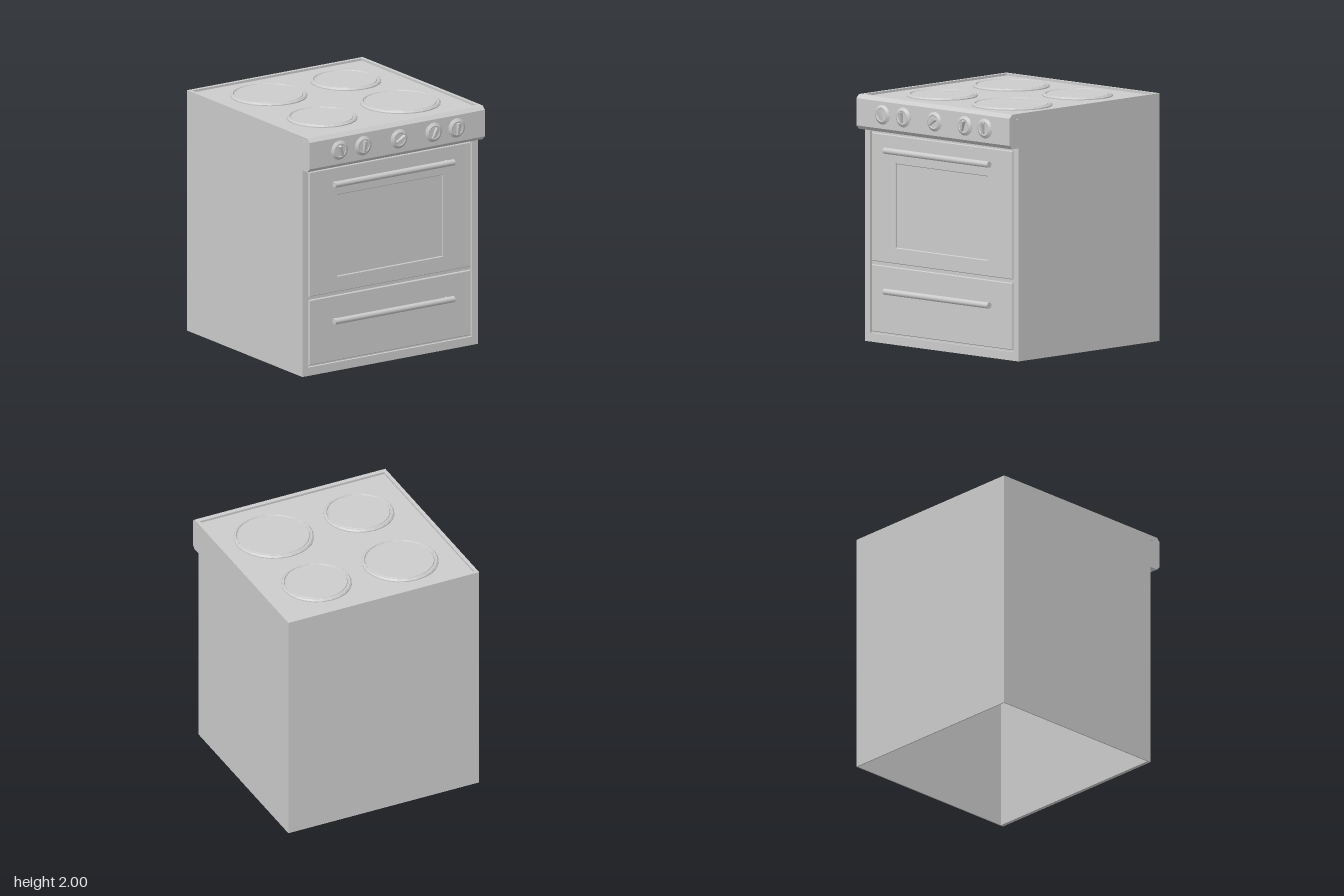
import * as THREE from 'three';

const mat = new THREE.MeshStandardMaterial({ color: 0xcccccc, flatShading: true });
const smooth = new THREE.MeshStandardMaterial({ color: 0xcccccc });

function add(parent, name, geometry, x = 0, y = 0, z = 0, material = mat) {
  const mesh = new THREE.Mesh(geometry, material);
  mesh.name = name;
  mesh.position.set(x, y, z);
  parent.add(mesh);
  return mesh;
}

// Box given by its minimum and maximum corners
function span(parent, name, x0, x1, y0, y1, z0, z1) {
  return add(parent, name, new THREE.BoxGeometry(x1 - x0, y1 - y0, z1 - z0),
    (x0 + x1) / 2, (y0 + y1) / 2, (z0 + z1) / 2);
}

function rect(Type, x, y0, y1) {
  return new Type([[-x, y0], [x, y0], [x, y1], [-x, y1]].map(p => new THREE.Vector2(...p)));
}

// Flat panel with a bevelled front edge, optionally with a rectangular opening
function panel(parent, name, outer, hole, front, depth, bevel) {
  const shape = rect(THREE.Shape, ...outer);
  if (hole) shape.holes.push(rect(THREE.Path, ...hole));
  const geometry = new THREE.ExtrudeGeometry(shape, {
    depth: depth - 2 * bevel, bevelEnabled: bevel > 0, bevelSize: bevel,
    bevelThickness: bevel, bevelOffset: -bevel, bevelSegments: 1,
  });
  return add(parent, name, geometry, 0, 0, front - depth + bevel);
}

// Bar handle on two short posts
function handle(parent, name, y) {
  const group = new THREE.Group();
  group.name = name;
  group.position.set(0, y, 0.795);
  parent.add(group);
  const bar = add(group, 'handleBar', new THREE.CylinderGeometry(0.025, 0.025, 1.16, 16), 0, 0, 0, smooth);
  bar.rotation.z = Math.PI / 2;
  for (const s of [-1, 1]) {
    const post = add(group, 'handlePost', new THREE.CylinderGeometry(0.013, 0.013, 0.06, 10), s * 0.54, 0, -0.03, smooth);
    post.rotation.x = Math.PI / 2;
  }
}

// Control knob: tapered dial with a wedge-shaped grip
function knob(parent, x, angle) {
  const group = new THREE.Group();
  group.name = 'knob';
  group.position.set(x, 1.865, 0.84);
  group.rotation.z = angle;
  parent.add(group);
  const profile = [[0.08, -0.005], [0.08, 0.003], [0.058, 0.018], [0.052, 0.018], [0.048, 0.015], [0, 0.015]]
    .map(p => new THREE.Vector2(...p));
  add(group, 'knobDial', new THREE.LatheGeometry(profile, 24)).rotation.x = Math.PI / 2;
  const side = new THREE.Shape([[0.01, -0.045], [0.032, -0.045], [0.052, 0.045], [0.01, 0.045]]
    .map(p => new THREE.Vector2(...p)));
  const grip = new THREE.ExtrudeGeometry(side, { depth: 0.02, bevelEnabled: false });
  grip.translate(0, 0, -0.01).rotateY(-Math.PI / 2);
  add(group, 'knobGrip', grip);
}

// Hotplate: raised ring, narrow groove, flat plate
function hotplate(parent, x, z, r) {
  const profile = [[r, 1.978], [r, 1.99], [r - 0.012, 2.002], [r - 0.022, 2.002], [r - 0.028, 1.992],
    [r - 0.033, 1.992], [r - 0.038, 2.0], [0, 2.0]].map(p => new THREE.Vector2(...p));
  add(parent, 'hotplate', new THREE.LatheGeometry(profile, 24), x, 0, z);
}

export function createModel() {
  const model = new THREE.Group();
  model.name = 'stove';

  // Hollow cabinet, open underneath
  for (const s of [-1, 1]) {
    const x = s * 0.845;
    span(model, 'sideWall', x - 0.005, x + 0.005, 0, 1.96, -0.89, 0.74);
    span(model, 'topRimSide', s * 0.835 - 0.015, s * 0.835 + 0.015, 1.96, 2, -0.89, 0.77);
  }
  span(model, 'backWall', -0.84, 0.84, 0, 1.96, -0.89, -0.88);
  span(model, 'topRimBack', -0.82, 0.82, 1.96, 2, -0.89, -0.86);
  span(model, 'cooktop', -0.82, 0.82, 1.965, 1.982, -0.86, 0.77);

  // Overhanging control panel with chamfered edges
  const section = new THREE.Shape([[-0.74, 1.72], [-0.74, 1.955], [-0.77, 1.955], [-0.77, 2], [-0.81, 2],
    [-0.84, 1.97], [-0.84, 1.75], [-0.81, 1.72]].map(p => new THREE.Vector2(...p)));
  const control = new THREE.ExtrudeGeometry(section, { depth: 1.7, bevelEnabled: false });
  control.translate(0, 0, -0.85).rotateY(Math.PI / 2);
  add(model, 'controlPanel', control);

  // Front: frame, door with recessed window, drawer
  span(model, 'frontBacking', -0.84, 0.84, 0.04, 1.74, 0.712, 0.717);
  panel(model, 'frontFrame', [0.84, 0, 1.72], [0.795, 0.07, 1.702], 0.74, 0.03, 0);
  panel(model, 'ovenDoor', [0.78, 0.655, 1.69], [0.51, 0.785, 1.46], 0.74, 0.025, 0.005);
  panel(model, 'ovenWindow', [0.52, 0.77, 1.475], null, 0.727, 0.01, 0);
  panel(model, 'drawerFront', [0.78, 0.085, 0.625], null, 0.74, 0.025, 0.005);
  handle(model, 'doorHandle', 1.568);
  handle(model, 'drawerHandle', 0.43);

  const knobs = [[-0.56, 0.38], [-0.33, 0], [0.017, -0.98], [0.352, -0.35], [0.576, 0]];
  for (const [x, angle] of knobs) knob(model, x, angle);

  const plates = [[-0.365, -0.443, 0.31], [0.377, -0.437, 0.284], [-0.382, 0.335, 0.284], [0.383, 0.326, 0.324]];
  for (const [x, z, r] of plates) hotplate(model, x, z, r);

  return model;
}
